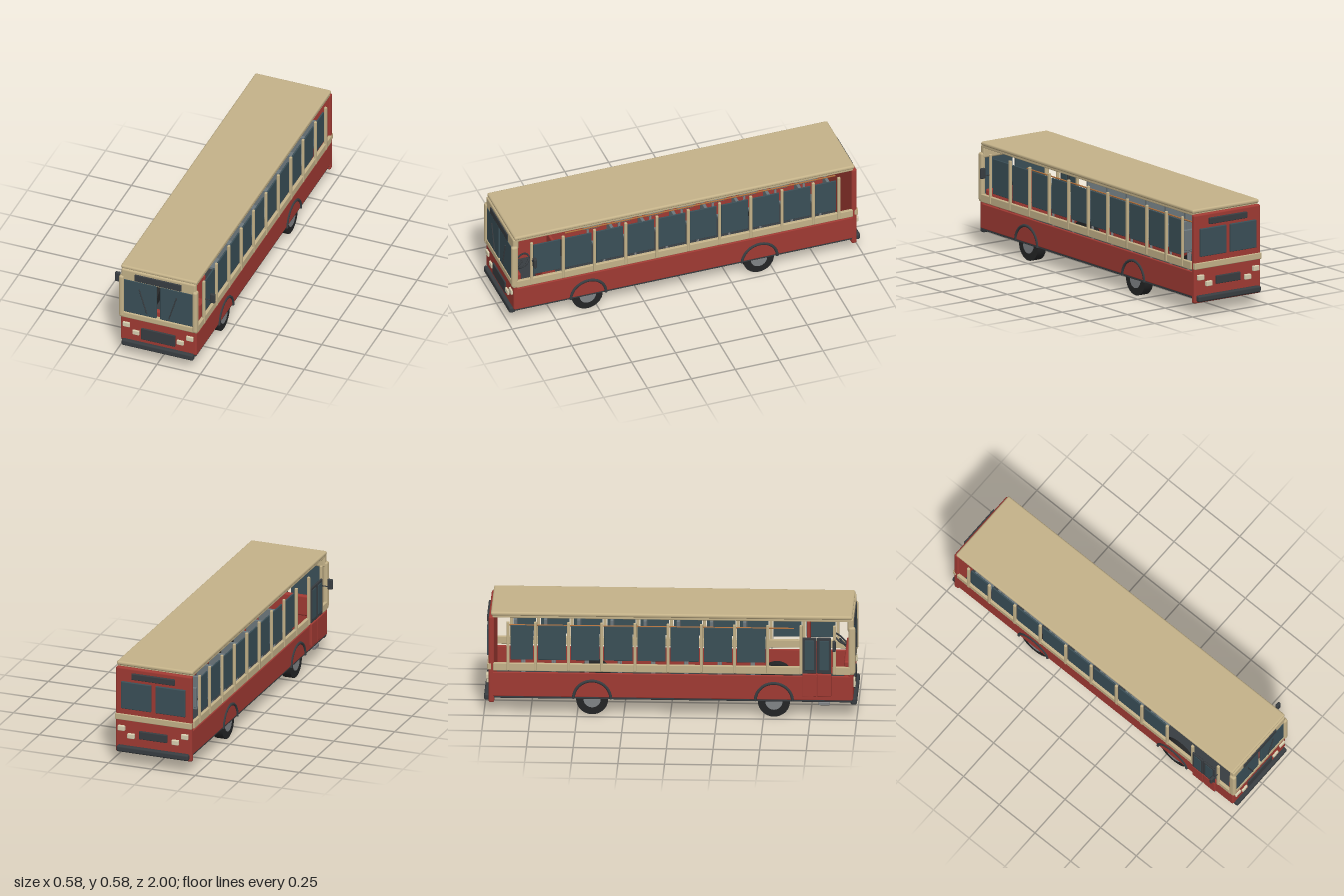
import * as THREE from 'three';
import { RoundedBoxGeometry } from 'three/addons/geometries/RoundedBoxGeometry.js';

const mat = (color) => new THREE.MeshStandardMaterial({ color });
const RED = mat(0xa03a33), BEIGE = mat(0xc4b289), DARK = mat(0x383d41), GLASS = mat(0x3a4f57);
const LAMP = mat(0xd8cfb0), TYRE = mat(0x242526), STEEL = mat(0x808386), SEAT = mat(0x6c777c), RAIL = mat(0xb0703c);

export function createModel() {
  const bus = new THREE.Group();
  bus.name = 'bus';

  const add = (name, geometry, material, x = 0, y = 0, z = 0) => {
    const mesh = new THREE.Mesh(geometry, material);
    mesh.name = name;
    mesh.position.set(x, y, z);
    bus.add(mesh);
    return mesh;
  };
  // Softly rounded box given by its limits on each axis
  const box = (name, material, [x0, x1], [y0, y1], [z0, z1], r = 0.004) => {
    const w = x1 - x0, h = y1 - y0, d = z1 - z0;
    const radius = Math.min(r, Math.min(w, h, d) * 0.45);
    return add(name, new RoundedBoxGeometry(w, h, d, 2, radius), material, (x0 + x1) / 2, (y0 + y1) / 2, (z0 + z1) / 2);
  };
  // Mirrored x limits
  const side = (s, a, b) => (s > 0 ? [a, b] : [-b, -a]);
  // Round bar between two points
  const bar = (name, material, a, b, r) => {
    const p = new THREE.Vector3(...a), q = new THREE.Vector3(...b);
    const mesh = add(name, new THREE.CylinderGeometry(r, r, p.distanceTo(q), 10), material);
    mesh.position.copy(p).lerp(q, 0.5);
    mesh.quaternion.setFromUnitVectors(new THREE.Vector3(0, 1, 0), q.sub(p).normalize());
  };

  // Floor and roof
  box('floor', DARK, [-0.215, 0.215], [0.088, 0.104], [-0.96, 0.975]);
  box('roofEdge', BEIGE, [-0.215, 0.215], [0.543, 0.56], [-0.955, 0.968]);
  box('roof', BEIGE, [-0.22, 0.22], [0.555, 0.577], [-0.963, 0.975], 0.01);

  // Side walls: skirt, waist rail, pillars and window panes
  const pillars = [0.88, 0.7, 0.522, 0.344, 0.166, -0.012, -0.19, -0.368, -0.546, -0.724, -0.87];
  for (const s of [1, -1]) {
    box('sideSkirt', RED, side(s, 0.205, 0.22), [0.1, 0.236], [-0.96, 0.975]);
    box('waistRail', BEIGE, side(s, 0.208, 0.226), [0.246, 0.29], [-0.95, s > 0 ? 0.965 : 0.7]);
    if (s < 0) box('waistRailFront', BEIGE, side(s, 0.208, 0.226), [0.246, 0.29], [0.87, 0.965]);
    pillars.forEach((z, i) => {
      box('windowPillar', BEIGE, side(s, 0.215, 0.23), [0.25, 0.525], [z - 0.008, z + 0.008]);
      const next = pillars[i + 1];
      if (next === undefined || (s < 0 && i < 2)) return;
      box('sideWindow', GLASS, side(s, 0.21, 0.218), [0.308, 0.502], [next + 0.013, z - 0.013], 0.003);
    });
    bar('ceilingHandrail', RAIL, [s * 0.14, 0.478, -0.88], [s * 0.14, 0.478, 0.66], 0.004);
  }

  // Front face
  box('frontPanel', RED, [-0.22, 0.22], [0.098, 0.26], [0.955, 0.98], 0.01);
  box('windscreenSill', BEIGE, [-0.225, 0.225], [0.246, 0.284], [0.955, 0.986], 0.008);
  box('frontHeader', BEIGE, [-0.215, 0.215], [0.487, 0.56], [0.95, 0.982], 0.01);
  box('destinationPanel', DARK, [-0.135, 0.135], [0.5, 0.542], [0.975, 0.988]);
  box('frontGrille', DARK, [-0.098, 0.098], [0.13, 0.202], [0.975, 0.988]);
  box('frontBumper', DARK, [-0.207, 0.207], [0.072, 0.109], [0.965, 1], 0.01);
  box('dashboard', RED, [-0.2, 0.2], [0.2, 0.316], [0.93, 0.96], 0.01);

  // Rear face
  box('rearPanel', RED, [-0.22, 0.22], [0.062, 0.55], [-0.975, -0.945], 0.01);
  box('rearStripe', BEIGE, [-0.221, 0.221], [0.25, 0.285], [-0.982, -0.96]);
  box('rearSign', DARK, [-0.125, 0.125], [0.49, 0.525], [-0.987, -0.97]);
  box('rearPlate', DARK, [-0.08, 0.08], [0.155, 0.2], [-0.987, -0.97]);
  box('rearBumper', DARK, [-0.207, 0.207], [0.072, 0.107], [-1, -0.968], 0.01);

  for (const s of [1, -1]) {
    // Windscreen halves, corner posts and wipers
    box('windscreen', GLASS, side(s, 0.011, 0.2), [0.285, 0.496], [0.968, 0.984]);
    box('cornerPost', BEIGE, side(s, 0.198, 0.226), [0.25, 0.516], [0.955, 0.992], 0.012);
    bar('wiper', DARK, [s * 0.064, 0.306, 0.988], [s * 0.108, 0.453, 0.988], 0.0035);
    box('rearWindow', GLASS, side(s, 0.013, 0.185), [0.318, 0.472], [-0.986, -0.968]);
    // Lamps, front and rear
    for (const [z0, z1] of [[0.972, 0.99], [-0.99, -0.968]]) {
      box('outerLamp', LAMP, side(s, 0.163, 0.203), [0.19, 0.219], [z0, z1]);
      box('innerLamp', LAMP, side(s, 0.108, 0.148), [0.151, 0.179], [z0, z1]);
    }
    // Mirrors
    bar('mirrorArm', DARK, [s * 0.215, 0.411, 0.88], [s * 0.272, 0.411, 0.88], 0.003);
    box('mirror', DARK, side(s, 0.259, 0.289), [0.397, 0.456], [0.871, 0.889], 0.007);
    // Wheels and arches
    for (const z of [0.555, -0.42]) {
      add('wheel', new THREE.CylinderGeometry(0.086, 0.086, 0.055, 32).rotateZ(Math.PI / 2), TYRE, s * 0.18, 0.086, z);
      add('wheelHub', new THREE.CylinderGeometry(0.046, 0.046, 0.008, 24).rotateZ(Math.PI / 2), STEEL, s * 0.207, 0.086, z);
      add('wheelArch', new THREE.TorusGeometry(0.1, 0.008, 8, 28, Math.PI).rotateY(Math.PI / 2), DARK, s * 0.22, 0.093, z);
    }
  }

  // Two-leaf door with its step
  for (const z of [0.708, 0.787]) {
    box('doorGlass', DARK, [-0.237, -0.226], [0.258, 0.46], [z, z + 0.076]);
    box('doorWindow', GLASS, [-0.239, -0.224], [0.275, 0.445], [z + 0.012, z + 0.064]);
    box('doorPanel', RED, [-0.237, -0.22], [0.125, 0.252], [z, z + 0.076]);
  }
  box('doorStep', STEEL, [-0.222, -0.16], [0.072, 0.09], [0.795, 0.855]);

  // Passenger seats behind the windows
  for (const s of [1, -1]) {
    for (let i = 2; i < 10; i++) {
      const z = (pillars[i] + pillars[i + 1]) / 2;
      box('seatCushion', SEAT, side(s, 0.06, 0.195), [0.312, 0.33], [z - 0.045, z + 0.05]);
      box('seatBack', SEAT, side(s, 0.06, 0.195), [0.325, 0.44], [z - 0.055, z - 0.037]);
      bar('seatLeg', STEEL, [s * 0.13, 0.1, z], [s * 0.13, 0.315, z], 0.007);
    }
  }

  // Driver's place
  box('driverSeatBase', RED, [0.06, 0.17], [0.1, 0.3], [0.725, 0.8]);
  box('driverSeatBack', RED, [0.06, 0.17], [0.29, 0.45], [0.72, 0.738], 0.008);
  const wheel = add('steeringWheel', new THREE.TorusGeometry(0.045, 0.005, 8, 24), DARK, 0.115, 0.335, 0.895);
  wheel.rotation.x = -0.9;
  bar('steeringColumn', DARK, [0.115, 0.335, 0.895], [0.115, 0.28, 0.94], 0.006);

  return bus;
}
